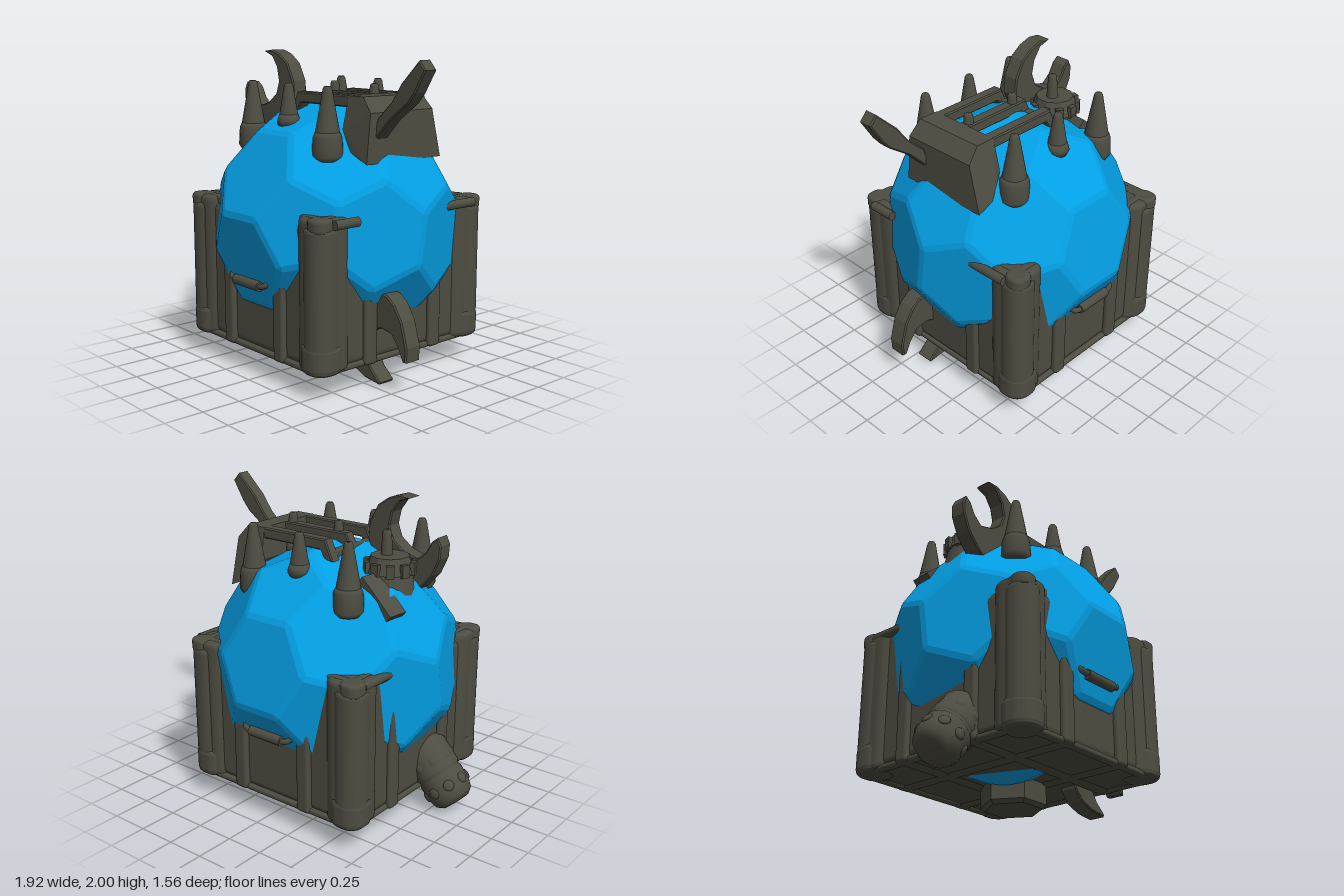
import * as THREE from 'three';
import { ConvexGeometry } from 'three/addons/geometries/ConvexGeometry.js';
import { RoundedBoxGeometry } from 'three/addons/geometries/RoundedBoxGeometry.js';

const blue = new THREE.MeshStandardMaterial({ color: 0x039fe4 });
blue.name = 'ballBlue';
const olive = new THREE.MeshStandardMaterial({ color: 0x4e4d42 });
olive.name = 'darkOlive';

// Truncated icosahedron with bevelled edges: every face is shrunk a little, then all are wrapped in a hull
function ballGeometry(radius, shrink) {
  const t = (1 + Math.sqrt(5)) / 2, corners = [], points = [];
  for (const a of [-1, 1]) for (const b of [-t, t]) {
    corners.push(new THREE.Vector3(a, b, 0), new THREE.Vector3(0, a, b), new THREE.Vector3(b, 0, a));
  }
  const joined = (p, q) => p !== q && p.distanceTo(q) < 2.01;
  for (const p of corners) for (const q of corners) {
    if (!joined(p, q)) continue;
    const v = p.clone().lerp(q, 1 / 3);
    const scale = radius / v.length();
    const centres = [p.clone().multiplyScalar(2 / 3 + 1 / (3 * Math.sqrt(5)))];
    for (const r of corners) {
      if (joined(p, r) && joined(q, r)) centres.push(p.clone().add(q).add(r).divideScalar(3));
    }
    for (const c of centres) points.push(v.clone().lerp(c, shrink).multiplyScalar(scale));
  }
  return new ConvexGeometry(points).rotateY(Math.PI / 2).rotateX(-0.155);
}

const lathe = (profile, n = 20) =>
  new THREE.LatheGeometry(profile.map(([r, y]) => new THREE.Vector2(r, y)), n);

// Flat plate cut from an outline in x and y, between two z depths
function plate(outline, z0, z1) {
  const shape = new THREE.Shape(outline.map(([x, y]) => new THREE.Vector2(x, y)));
  const b = 0.008;
  return new THREE.ExtrudeGeometry(shape, {
    depth: z1 - z0 - 2 * b, bevelEnabled: true, bevelSize: b, bevelOffset: -b, bevelThickness: b, bevelSegments: 1,
  }).translate(0, 0, z0 + b);
}

// Upright square post with round corners, from y0 to y1
function post(width, radius, y0, y1, b) {
  const h = width / 2, k = h - radius, shape = new THREE.Shape();
  shape.absarc(k, k, radius, 0, Math.PI / 2);
  shape.absarc(-k, k, radius, Math.PI / 2, Math.PI);
  shape.absarc(-k, -k, radius, Math.PI, Math.PI * 1.5);
  shape.absarc(k, -k, radius, Math.PI * 1.5, Math.PI * 2);
  return new THREE.ExtrudeGeometry(shape, {
    depth: y1 - y0 - 2 * b, bevelSize: b, bevelOffset: -b, bevelThickness: b, bevelSegments: 3, curveSegments: 6,
  }).rotateX(-Math.PI / 2).translate(0, y0 + b, 0);
}

export function createModel() {
  const model = new THREE.Group();
  const add = (name, geometry, x = 0, y = 0, z = 0, material = olive, parent = model) => {
    const mesh = new THREE.Mesh(geometry, material);
    mesh.name = name;
    mesh.position.set(x, y, z);
    parent.add(mesh);
    return mesh;
  };
  const box = (name, w, h, d, x, y, z, r = 0.015, parent = model) =>
    add(name, new RoundedBoxGeometry(w, h, d, 3, r), x, y, z, olive, parent);

  add('ball', ballGeometry(0.81, 0.08), -0.04, 0.908, 0, blue);

  // Crate, pierced by the ball on every side
  const crate = new THREE.Group();
  crate.name = 'crate';
  crate.position.x = -0.055;
  model.add(crate);
  box('crateBody', 1.26, 0.89, 1.29, 0, 0.605, 0, 0.06, crate);
  for (const s of [-1, 1]) {
    box('rimSide', 0.06, 0.06, 1.2, s * 0.58, 1.055, 0, 0.02, crate);
    box('rimEnd', 1.18, 0.06, 0.06, 0, 1.055, s * 0.6, 0.02, crate);
    for (const t of [-1, 1]) {
      add('cornerPost', post(0.26, 0.1, 0.16, 1.08, 0.03), s * 0.53, 0, t * 0.545, olive, crate);
      add('postPanel', post(0.2, 0.095, 0.19, 1.03, 0.03), s * 0.572, 0, t * 0.597, olive, crate);
      add('postFoot', post(0.23, 0.1, 0.15, 0.34, 0.04), s * 0.56, 0, t * 0.585, olive, crate);
      add('postCap', post(0.14, 0.06, 1.0, 1.085, 0.02), s * 0.595, 0, t * 0.62, olive, crate);
    }
    box('endRib', 0.1, 0.6, 1.36, s * 0.255, 0.45, 0, 0.025, crate);
    box('sideRib', 1.32, 0.68, 0.1, 0, 0.49, s * 0.27, 0.025, crate);
    // Lower sill between the posts
    box('sillEnd', 1.16, 0.04, 0.06, 0, 0.168, s * 0.635, 0.018, crate);
    box('sillSide', 0.06, 0.04, 1.16, s * 0.61, 0.168, 0, 0.018, crate);
    // End handles
    const path = new THREE.CatmullRomCurve3([
      [-0.18, 0.66, 0.64], [-0.175, 0.62, 0.7], [-0.12, 0.605, 0.71], [0.12, 0.605, 0.71], [0.175, 0.62, 0.7], [0.18, 0.66, 0.64],
    ].map(([x, y, z]) => new THREE.Vector3(x, y, s * z)));
    add('handle', new THREE.TubeGeometry(path, 24, 0.018, 8), 0, 0, 0, olive, crate);
    const grip = add('handleGrip', new THREE.CylinderGeometry(0.032, 0.032, 0.25, 12), 0, 0.605, s * 0.705, olive, crate);
    grip.rotation.z = Math.PI / 2;
  }

  // Short rails at the top of the crate sides
  for (const [x, z0, z1] of [[0.67, 0.4, 0.58], [0.67, -0.58, -0.31], [-0.635, -0.58, -0.28]]) {
    const rail = add('sideRail', new THREE.CylinderGeometry(0.03, 0.03, z1 - z0, 12), x, 1.05, (z0 + z1) / 2, olive, crate);
    rail.rotation.x = Math.PI / 2;
  }

  // Spikes in a three by three grid
  [-0.425, -0.055, 0.315].forEach((x, i) => {
    for (const z of [-0.375, 0, 0.375]) {
      const small = z === 0 || i === 1;
      const r = z === 0 ? 0.05 : i === 1 ? 0.074 : 0.095;
      const y = small ? 1.54 : 1.37;
      const collar = small ? 1.61 : 1.53;
      add('spikeBase', lathe([[0, y], [r * 0.8, y], [r, y + 0.03], [r * 0.93, collar - 0.02], [r * 0.8, collar + 0.01], [0, collar + 0.01]]), x, 0, z);
      add('spike', lathe([[r * 0.8, collar], [0.028, 1.795], [0.02, 1.81], [0, 1.81]]), x, 0, z);
    }
  });

  // Ribbed cap under the rear spike
  add('capBase', new THREE.CylinderGeometry(0.135, 0.165, 0.16, 20), -0.45, 1.5, 0);
  add('cap', new THREE.CylinderGeometry(0.12, 0.155, 0.1, 10).toNonIndexed(), -0.45, 1.61, 0).geometry.computeVertexNormals();
  for (let i = 0; i < 10; i++) {
    const a = i * Math.PI / 5;
    add('capRidge', new THREE.BoxGeometry(0.05, 0.08, 0.03), -0.45 + 0.148 * Math.sin(a), 1.59, 0.148 * Math.cos(a)).rotation.y = a;
  }
  const wedge = add('wedge', new THREE.BoxGeometry(0.3, 0.08, 0.14), -0.53, 1.45, -0.2);
  wedge.rotation.set(0, -0.1, 0.72);

  // Slotted frame on the top with its tapered block
  for (const z of [-0.205, 0, 0.205]) {
    add('frameBar', plate([[-0.2, 1.62], [-0.14, 1.75], [0.46, 1.75], [0.46, 1.68], [-0.1, 1.68], [-0.14, 1.62]], z - 0.037, z + 0.037));
  }
  box('frameEnd', 0.05, 0.07, 0.46, -0.155, 1.645, 0);
  const blockPoints = [];
  for (const s of [-1, 1]) {
    const flare = s > 0 ? 0.285 : 0.33;
    for (const [x, y, z] of [[0.35, 1.75, 0.24], [0.48, 1.75, 0.24], [0.56, 1.66, 0.255], [0.56, 1.36, flare], [0.42, 1.42, flare], [0.34, 1.55, 0.28]]) {
      blockPoints.push(new THREE.Vector3(x, y, s * z));
    }
  }
  add('frameBlock', new ConvexGeometry(blockPoints));

  // Tools stuck through the ball
  add('topWrench', plate([
    [-0.51, 1.99], [-0.43, 2.0], [-0.35, 1.975], [-0.27, 1.92], [-0.21, 1.81], [-0.2, 1.7], [-0.24, 1.6], [-0.32, 1.45], [-0.5, 1.38],
    [-0.6, 1.45], [-0.68, 1.54], [-0.73, 1.65], [-0.735, 1.73], [-0.71, 1.78], [-0.67, 1.75], [-0.63, 1.68], [-0.57, 1.63],
    [-0.47, 1.66], [-0.39, 1.72], [-0.36, 1.8], [-0.38, 1.89], [-0.43, 1.96],
  ], 0.11, 0.22));
  add('lowerWrench', plate([
    [0.3, 0.3], [0.32, 0.14], [0.38, 0.07], [0.48, 0.03], [0.61, 0.015], [0.62, 0.03], [0.54, 0.1], [0.49, 0.18], [0.54, 0.34],
    [0.63, 0.375], [0.71, 0.36], [0.77, 0.29], [0.81, 0.21], [0.84, 0.21], [0.845, 0.3], [0.8, 0.45], [0.74, 0.54], [0.68, 0.585],
    [0.6, 0.6], [0.45, 0.56],
  ], 0.105, 0.225));
  add('flatDriver', plate([
    [0.5, 1.45], [0.57, 1.63], [0.68, 1.73], [0.76, 1.84], [0.9, 1.975], [0.95, 1.92], [0.87, 1.79], [0.82, 1.73], [0.68, 1.63], [0.56, 1.51],
  ], 0.115, 0.21));

  // Studded canister hanging at the lower corner
  const canister = new THREE.Group();
  canister.name = 'canister';
  canister.position.set(-0.895, 0.065, 0.165);
  canister.rotation.z = -0.73;
  model.add(canister);
  add('canisterBody', lathe([
    [0, 0], [0.09, 0.005], [0.13, 0.035], [0.146, 0.09], [0.15, 0.19], [0.143, 0.2], [0.143, 0.22], [0.155, 0.23], [0.155, 0.4], [0.11, 0.46], [0.11, 0.55], [0, 0.55],
  ], 24), 0, 0, 0, olive, canister);
  for (const y of [0.12, 0.3]) for (let i = 0; i < 8; i++) {
    const a = i * Math.PI / 4;
    const stud = add('stud', new THREE.SphereGeometry(0.035, 10, 8), 0.146 * Math.sin(a), y, 0.146 * Math.cos(a), olive, canister);
    stud.scale.z = 0.4;
    stud.rotation.y = a;
  }

  // Hexagonal bolt head under the crate
  const hex = (top, bottom, h) => {
    const g = new THREE.CylinderGeometry(top, bottom, h, 6).toNonIndexed().rotateY(Math.PI / 6);
    g.computeVertexNormals();
    return g;
  };
  add('boltHead', hex(0.208, 0.208, 0.15), 0.095, 0.105, -0.095);
  add('boltChamfer', hex(0.208, 0.185, 0.025), 0.095, 0.0175, -0.095);
  return model;
}
